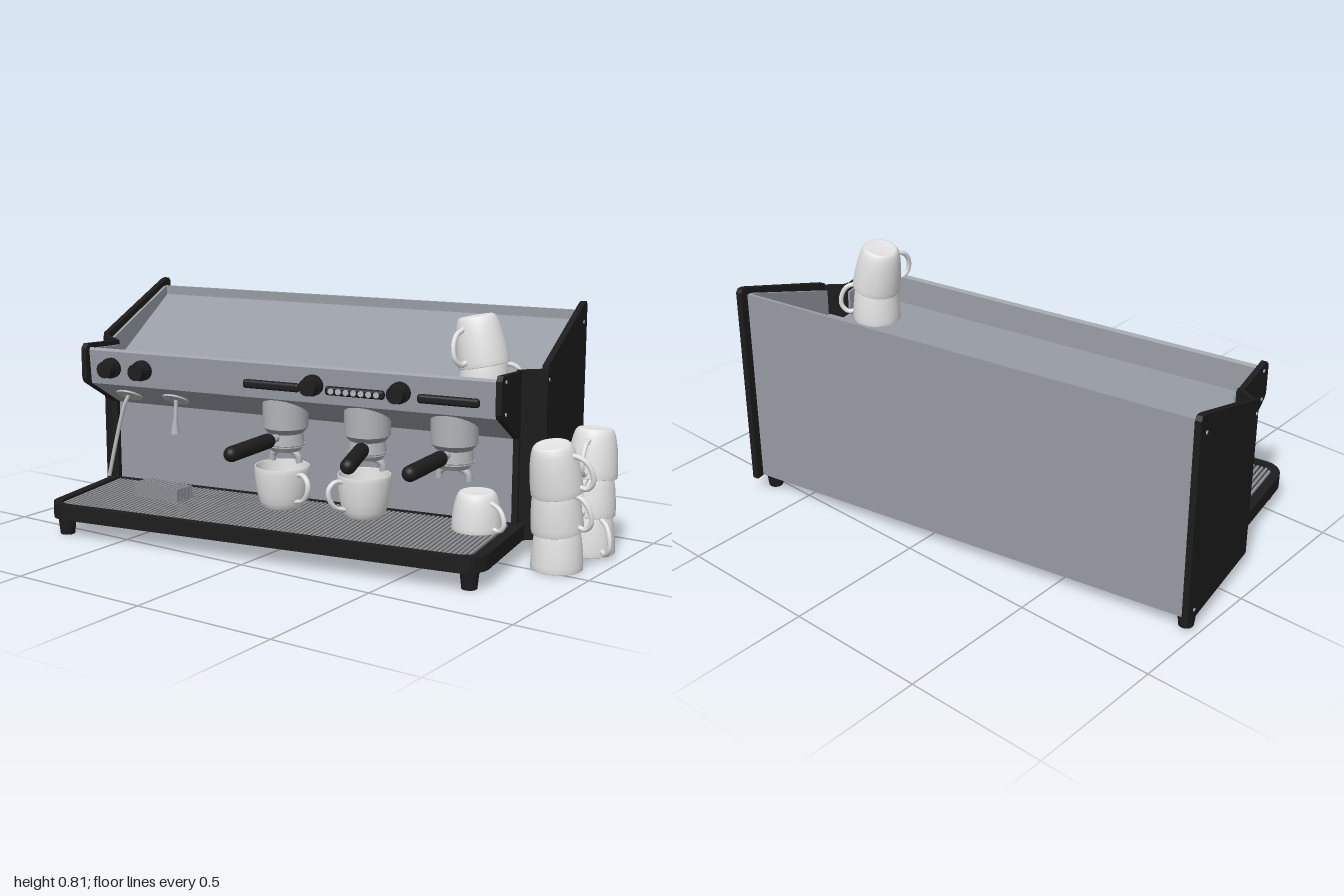
import * as THREE from 'three';
import { mergeGeometries } from 'three/addons/utils/BufferGeometryUtils.js';
import { RoundedBoxGeometry } from 'three/addons/geometries/RoundedBoxGeometry.js';

const mat = (name, color) => Object.assign(new THREE.MeshStandardMaterial({ color }), { name });
const steel = mat('brushed steel', 0x979ba3);
const chrome = mat('chrome', 0xb2b4b8);
const black = mat('black', 0x1d1d1e);
const grey = mat('grill grey', 0x8c8e92);
const white = mat('porcelain', 0xe2e2e2);

function add(parent, name, geometry, material, x = 0, y = 0, z = 0) {
  const mesh = new THREE.Mesh(geometry, material);
  mesh.name = name;
  mesh.position.set(x, y, z);
  parent.add(mesh);
  return mesh;
}

// Side profile of [z, y] points, extruded from x0 to x1
function sideExtrude(points, x0, x1) {
  const shape = new THREE.Shape(points.map(([z, y]) => new THREE.Vector2(-z, y)));
  return new THREE.ExtrudeGeometry(shape, { depth: x1 - x0, bevelEnabled: false })
    .rotateY(Math.PI / 2).translate(x0, 0, 0);
}

// Plan shape drawn in (x, -z), extruded from y0 to y1
function planExtrude(shape, y0, y1) {
  return new THREE.ExtrudeGeometry(shape, { depth: y1 - y0, bevelEnabled: false, curveSegments: 8 })
    .rotateX(-Math.PI / 2).translate(0, y0, 0);
}

function tube(points, radius) {
  const curve = new THREE.CatmullRomCurve3(points.map(p => new THREE.Vector3(...p)));
  return new THREE.TubeGeometry(curve, 16, radius, 10);
}

// Tray outline with rounded front corners
function trayOutline(half, back, front, r, Type) {
  const s = new Type();
  s.moveTo(half, -back);
  s.lineTo(-half, -back);
  s.lineTo(-half, -front + r);
  s.absarc(-half + r, -front + r, r, Math.PI, Math.PI * 1.5, false);
  s.absarc(half - r, -front + r, r, Math.PI * 1.5, Math.PI * 2, false);
  s.closePath();
  return s;
}

// Parallel bars running front to back
function bars(width, depth, height, pitch) {
  const list = [];
  for (let x = -width / 2; x <= width / 2 + 1e-6; x += pitch)
    list.push(new THREE.BoxGeometry(pitch * 0.55, height, depth).translate(x, 0, 0));
  return mergeGeometries(list);
}

const CUP_H = 0.165;
const cupGeometry = new THREE.LatheGeometry([
  [0, 0.004], [0.046, 0.004], [0.05, 0], [0.057, 0.002], [0.064, 0.01], [0.071, 0.03], [0.078, 0.065], [0.083, 0.11],
  [0.085, 0.145], [0.085, 0.163], [0.083, 0.165], [0.08, 0.162], [0.077, 0.1], [0.066, 0.04], [0.05, 0.016], [0, 0.014],
].map(p => new THREE.Vector2(...p)), 32);
const handleGeometry = tube([[0.078, 0.142, 0], [0.105, 0.148, 0], [0.128, 0.125, 0],
  [0.127, 0.085, 0], [0.105, 0.05, 0], [0.068, 0.036, 0]], 0.0085);

// yaw 0 points the handle to +x; tilts lean the cup towards +z and -x
function cup(parent, x, y, z, yaw, inverted, { wide = 1, tall = 1, tiltX = 0, tiltZ = 0 } = {}) {
  const g = new THREE.Group();
  g.name = 'cup';
  g.position.set(x, y, z);
  g.rotation.set(tiltX, yaw, tiltZ, 'XZY');
  g.scale.set(wide, tall, wide);
  const inner = new THREE.Group();
  if (inverted) {
    inner.rotation.x = Math.PI;
    inner.position.y = CUP_H;
  }
  add(inner, 'cupBowl', cupGeometry, white);
  add(inner, 'cupHandle', handleGeometry, white);
  g.add(inner);
  parent.add(g);
}

function groupHead(parent, x, yaw) {
  const g = new THREE.Group();
  g.name = 'brewGroup';
  g.position.set(x, 0, 0.12);
  g.rotation.y = yaw;
  parent.add(g);
  add(g, 'headCap', new THREE.CylinderGeometry(0.08, 0.078, 0.11, 32), chrome, 0, 0.45, 0);
  add(g, 'headTaper', new THREE.CylinderGeometry(0.078, 0.06, 0.02, 32), steel, 0, 0.385, 0);
  add(g, 'filterBasket', new THREE.CylinderGeometry(0.06, 0.066, 0.05, 32), chrome, 0, 0.355, 0);
  add(g, 'filterRing', new THREE.CylinderGeometry(0.068, 0.05, 0.025, 32), chrome, 0, 0.325, 0);
  for (const s of [-1, 1])
    add(g, 'spout', tube([[0, 0.318, 0], [s * 0.03, 0.31, 0], [s * 0.05, 0.295, 0], [s * 0.054, 0.272, 0]], 0.012), chrome);
  add(g, 'handleNeck', new THREE.CylinderGeometry(0.014, 0.014, 0.06, 12).rotateX(Math.PI / 2), chrome, 0, 0.365, 0.07);
  add(g, 'handleGrip', new THREE.CapsuleGeometry(0.026, 0.22, 6, 16).rotateX(Math.PI / 2), black, 0, 0.365, 0.225);
}

export function createModel() {
  const root = new THREE.Group();
  root.name = 'espressoMachineSet';
  const machine = new THREE.Group();
  machine.name = 'machine';
  machine.position.set(-0.074, 0, 0.014);
  machine.rotation.y = 0.186;
  root.add(machine);

  // Steel body: wide rear sloping down to a recessed cup shelf behind the fascia
  add(machine, 'rearBody', sideExtrude([[-0.442, 0.066], [-0.012, 0.066], [-0.012, 0.525], [-0.03, 0.525], [-0.43, 0.742],
    [-0.43, 0.775], [-0.442, 0.775]], -0.828, 0.828), steel);
  add(machine, 'frontBody', sideExtrude([[-0.02, 0.066], [0.03, 0.066], [0.03, 0.405], [0.21, 0.505],
    [0.22, 0.625], [0.213, 0.634], [0.205, 0.625], [0.2, 0.525], [-0.02, 0.525]], -0.757, 0.757), steel);

  // Black side panels, stepping inward towards the front
  const rearPanel = [[-0.473, 0.064], [-0.02, 0.064], [-0.02, 0.647], [-0.44, 0.8], [-0.463, 0.803], [-0.473, 0.79]];
  const frontPanel = [[0.02, 0.064], [0.05, 0.064], [0.05, 0.41], [0.23, 0.51], [0.24, 0.525],
    [0.24, 0.632], [0.225, 0.648], [0.02, 0.63]];
  const rearLiner = [[-0.435, 0.7], [-0.02, 0.5], [-0.02, 0.62], [-0.42, 0.773], [-0.435, 0.773]];
  const frontLiner = [[0.02, 0.5], [0.21, 0.51], [0.21, 0.63], [0.02, 0.615]];
  for (const s of [-1, 1]) {
    const span = (a, b) => (s > 0 ? [a, b] : [-b, -a]);
    add(machine, 'rearSidePanel', sideExtrude(rearPanel, ...span(0.826, 0.847)), black);
    add(machine, 'frontSidePanel', sideExtrude(frontPanel, ...span(0.755, 0.775)), black);
    add(machine, 'rearLiner', sideExtrude(rearLiner, ...span(0.816, 0.827)), steel);
    add(machine, 'frontLiner', sideExtrude(frontLiner, ...span(0.746, 0.756)), steel);
    const step = new THREE.Shape([[0.826, 0.02], [0.847, 0.02], [0.847, 0.015], [0.775, -0.035], [0.775, -0.05], [0.755, -0.03]]
      .map(([x, y]) => new THREE.Vector2(s * x, y)));
    add(machine, 'sidePanelStep', planExtrude(step, 0.064, 0.636), black);
    for (const [x, y, z] of [[0.848, 0.735, -0.43], [0.848, 0.1, -0.43], [0.848, 0.6, -0.03], [0.776, 0.625, 0.2], [0.776, 0.52, 0.2]])
      add(machine, 'screw', new THREE.CylinderGeometry(0.006, 0.006, 0.004, 10).rotateZ(Math.PI / 2), chrome, s * x, y, z);
    // Feet
    for (const [x, z] of [[0.81, -0.395], [0.74, 0.413]])
      add(machine, 'foot', new THREE.CylinderGeometry(0.032, 0.025, 0.065, 20), black, s * x, 0.0405, z);
  }

  // Drip tray with rim and grill
  add(machine, 'trayBase', planExtrude(trayOutline(0.795, 0.031, 0.468, 0.08, THREE.Shape), 0.07, 0.106), black);
  const rim = trayOutline(0.795, 0.031, 0.468, 0.08, THREE.Shape);
  rim.holes.push(trayOutline(0.765, 0.04, 0.44, 0.055, THREE.Path));
  add(machine, 'trayRim', planExtrude(rim, 0.106, 0.122), black);
  add(machine, 'trayGrill', bars(1.5, 0.388, 0.008, 0.016), grey, 0, 0.114, 0.238);

  // Slatted box standing on the tray, turned square to the cups
  const rinser = new THREE.Group();
  rinser.name = 'slattedBox';
  rinser.position.set(-0.503, 0.14, 0.302);
  root.add(rinser);
  add(rinser, 'slattedBoxCore', new THREE.BoxGeometry(0.186, 0.042, 0.074), black);
  add(rinser, 'lengthwaySlats', bars(0.18, 0.082, 0.05, 0.018), grey);
  add(rinser, 'crosswaySlats', bars(0.072, 0.194, 0.046, 0.018), grey).rotation.y = Math.PI / 2;

  // Fascia controls
  for (const x of [-0.665, -0.54, 0.115, 0.425]) {
    add(machine, 'knob', new THREE.CylinderGeometry(0.029, 0.034, 0.056, 20).rotateX(Math.PI / 2), black, x, 0.567, 0.243);
    add(machine, 'knobCollar', new THREE.CylinderGeometry(0.036, 0.036, 0.02, 20).rotateX(Math.PI / 2), black, x, 0.567, 0.225);
  }
  for (const x of [-0.04, 0.265, 0.59])
    add(machine, 'buttonStrip', new RoundedBoxGeometry(0.21, 0.03, 0.024, 3, 0.01), black, x, 0.553, 0.218);
  for (let i = -3; i <= 3; i++)
    add(machine, 'button', new THREE.CylinderGeometry(0.01, 0.01, 0.006, 14).rotateX(Math.PI / 2), chrome, 0.265 + i * 0.027, 0.553, 0.231);

  // Brew groups with portafilters
  groupHead(machine, -0.035, -0.1);
  groupHead(machine, 0.27, 0.22);
  groupHead(machine, 0.578, -0.07);

  // Steam wand and water spout under the fascia
  for (const x of [-0.655, -0.465])
    add(machine, 'wandFlange', new THREE.CylinderGeometry(0.048, 0.048, 0.01, 24), chrome, x, 0.455, 0.122).rotation.x = -0.5;
  add(machine, 'steamWand', tube([[-0.655, 0.46, 0.12], [-0.668, 0.42, 0.137], [-0.69, 0.29, 0.165], [-0.708, 0.165, 0.188]], 0.007), chrome);
  add(machine, 'waterSpout', tube([[-0.465, 0.46, 0.12], [-0.463, 0.42, 0.128], [-0.46, 0.37, 0.138]], 0.007), chrome);
  add(machine, 'waterSpoutTip', new THREE.CylinderGeometry(0.009, 0.016, 0.045, 14), chrome, -0.46, 0.355, 0.139);

  // Cups on the tray
  cup(root, -0.078, 0.118, 0.17, -0.3, false, { wide: 1.12, tall: 0.9 });
  cup(root, 0.22, 0.118, 0.11, -2.0, false, { wide: 1.07, tall: 0.9 });
  cup(root, 0.605, 0.118, 0.025, -0.3, true, { wide: 0.97, tall: 0.78 });

  // Cups standing in the shelf on top
  cup(root, 0.577, 0.526, -0.055, 0.6, true);
  cup(root, 0.577, 0.646, -0.053, -1.8, true, { tiltZ: 0.2 });

  // Two stacks of inverted cups beside the machine
  [[-0.6, 0.86, -0.29, 0], [-1.4, 0.855, -0.295, -0.06], [-1.4, 0.855, -0.3, -0.1]].forEach(([yaw, x, z, tiltX], i) =>
    cup(root, x, 0.008 + i * 0.128, z, yaw, true, { tiltX }));
  [[1.5, -0.062, 0, 0], [-0.1, -0.06, 0.12, 0.04], [0.05, -0.05, 0.17, 0.06]].forEach(([yaw, z, tiltX, tiltZ], i) =>
    cup(root, 0.855, 0.008 + i * 0.128, z, yaw, true, { tiltX, tiltZ }));

  return root;
}
